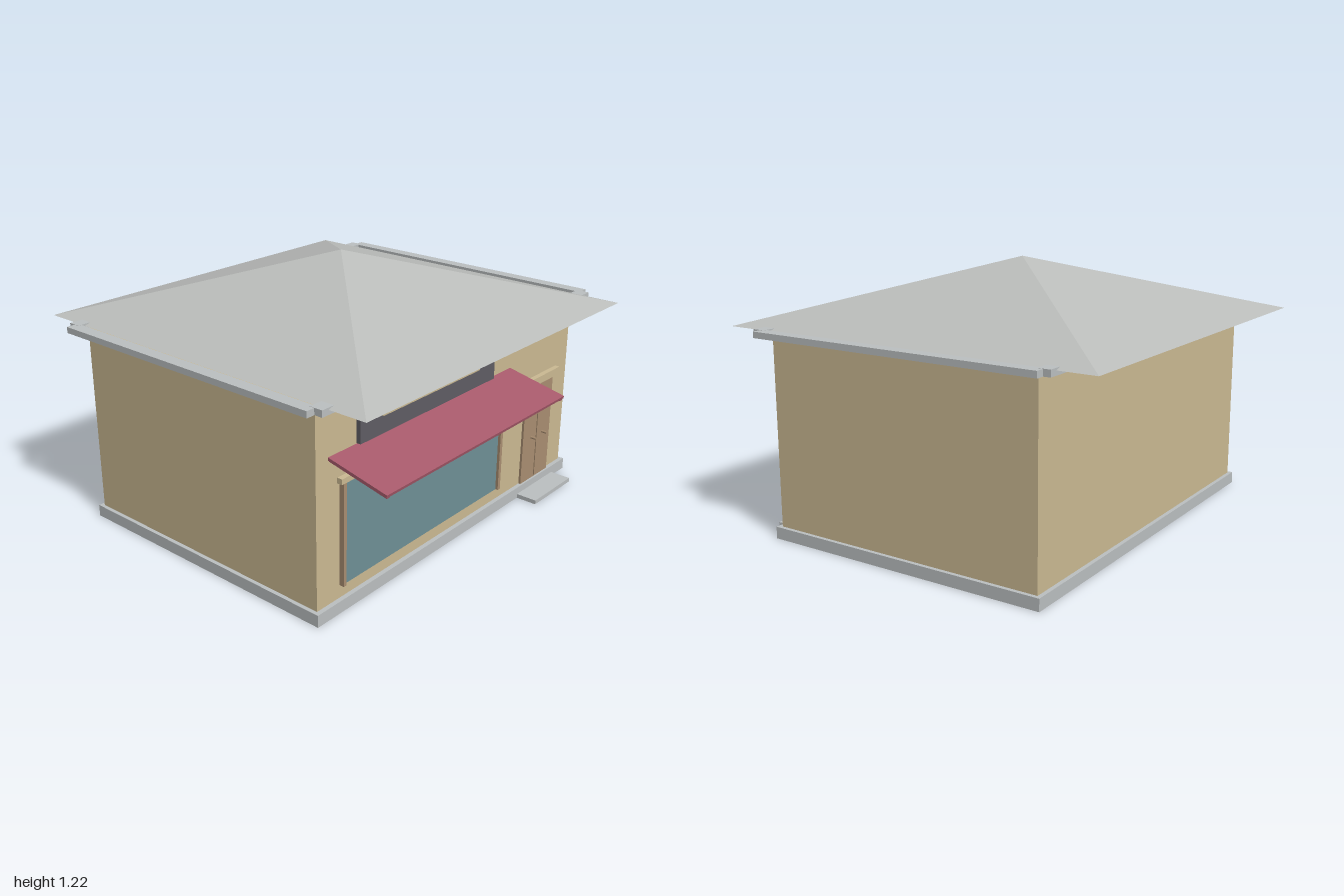
import * as THREE from 'three';

const mat = (name, color) => {
  const m = new THREE.MeshStandardMaterial({ color });
  m.name = name;
  return m;
};

export function createModel() {
  const model = new THREE.Group();
  model.name = 'shop';

  const wall = mat('sandPlaster', 0xcab992);
  const stone = mat('paleStone', 0xbbbfc0);
  const roofGrey = mat('roofGrey', 0xbbbdbb);
  const glass = mat('blueGlass', 0x6e8f95);
  const wood = mat('brownWood', 0xa88d70);
  const red = mat('awningRed', 0xa85a6b);
  const dark = mat('signGrey', 0x5f5d64);

  // Box given by its extents along each axis
  const box = (name, material, [x0, x1], [y0, y1], [z0, z1], parent = model) => {
    const mesh = new THREE.Mesh(new THREE.BoxGeometry(x1 - x0, y1 - y0, z1 - z0), material);
    mesh.position.set((x0 + x1) / 2, (y0 + y1) / 2, (z0 + z1) / 2);
    mesh.name = name;
    parent.add(mesh);
    return mesh;
  };

  // Building
  box('walls', wall, [-0.92, 0.92], [0.05, 0.935], [-0.69, 0.66]);
  box('plinth', stone, [-0.938, 0.938], [0, 0.055], [-0.709, 0.681]);
  box('doorStep', stone, [0.503, 0.823], [0, 0.02], [0.681, 0.785]);

  // Hipped roof
  const roofShape = new THREE.ConeGeometry(0.925 * Math.SQRT2, 0.282, 4, 1);
  roofShape.rotateY(Math.PI / 4);
  const roofFlat = roofShape.toNonIndexed();
  roofFlat.computeVertexNormals();
  const roof = new THREE.Mesh(roofFlat, roofGrey);
  roof.name = 'roof';
  roof.position.set(0, 0.94 + 0.141, -0.017);
  model.add(roof);

  // Cornice ring: long rails front and back, slightly lower-set side rails
  const cornice = new THREE.Group();
  cornice.name = 'cornice';
  model.add(cornice);
  box('frontRail', stone, [-0.96, 0.96], [0.92, 0.949], [0.671, 0.732], cornice);
  box('backRail', stone, [-0.96, 0.96], [0.92, 0.949], [-0.767, -0.708], cornice);
  box('leftRail', stone, [0.941, 1], [0.92, 0.948], [-0.735, 0.694], cornice);
  box('rightRail', stone, [-1, -0.941], [0.92, 0.948], [-0.735, 0.694], cornice);

  // Shop window
  const win = new THREE.Group();
  win.name = 'shopWindow';
  model.add(win);
  box('pane', glass, [-0.767, 0.322], [0.113, 0.573], [0.655, 0.669], win);
  box('rightPost', wood, [-0.785, -0.767], [0.113, 0.573], [0.655, 0.682], win);
  box('leftPost', wood, [0.322, 0.341], [0.113, 0.573], [0.655, 0.682], win);
  box('windowHeader', wall, [-0.798, 0.346], [0.573, 0.597], [0.655, 0.685], win);

  // Double door
  const door = new THREE.Group();
  door.name = 'doubleDoor';
  model.add(door);
  for (const s of [-1, 1]) {
    const a = 0.6645 + s * 0.004, b = 0.6645 + s * 0.12;
    box('doorLeaf', wood, [Math.min(a, b), Math.max(a, b)], [0.055, 0.558], [0.655, 0.671], door);
    const knob = new THREE.Mesh(new THREE.CylinderGeometry(0.006, 0.006, 0.03, 10), wood);
    knob.rotation.x = Math.PI / 2;
    knob.position.set(0.6645 + s * 0.048, 0.282, 0.685);
    knob.name = 'knob';
    door.add(knob);
  }
  box('lintel', wall, [0.508, 0.818], [0.558, 0.595], [0.655, 0.685], door);

  // Sign board with a light strip
  box('signBoard', dark, [-0.686, 0.236], [0.704, 0.842], [0.655, 0.682]);
  box('signStrip', wall, [-0.557, 0.108], [0.783, 0.803], [0.682, 0.69]);

  // Sloping awning with two thin ribs beneath
  const awning = new THREE.Group();
  awning.name = 'awning';
  awning.position.set(-0.223, 0.69, 0.66);
  awning.rotation.x = Math.atan2(0.062, 0.283);
  model.add(awning);
  box('canopy', red, [-0.627, 0.627], [-0.002, 0.011], [-0.01, 0.29], awning);
  for (const x of [-0.612, 0.612])
    box('rib', red, [x - 0.008, x + 0.008], [-0.009, -0.002], [-0.005, 0.288], awning);

  return model;
}
